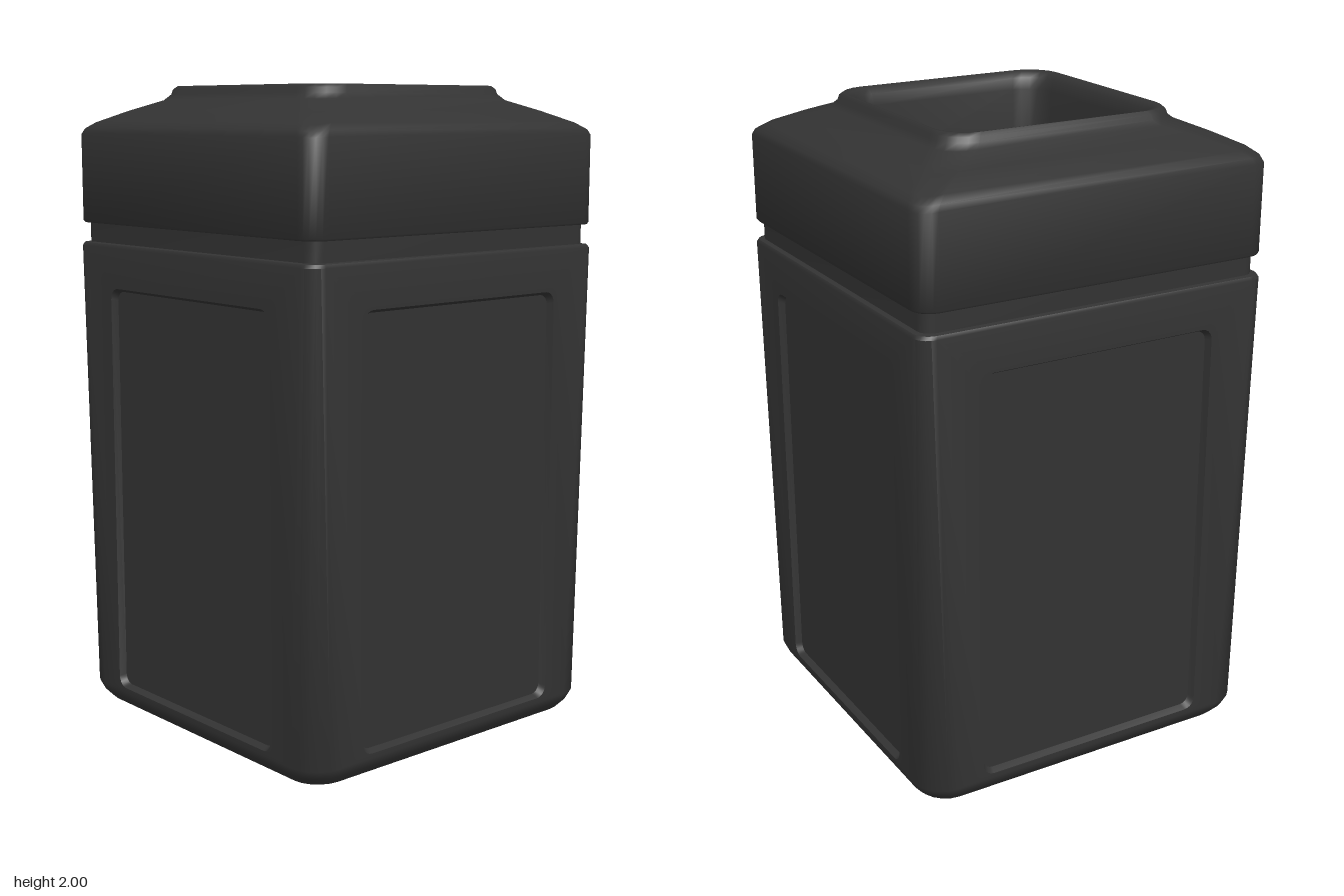
import * as THREE from 'three';
import { mergeGeometries, toCreasedNormals } from 'three/addons/utils/BufferGeometryUtils.js';

const N = 5; // segments per rounded corner

// Rounded rectangle outline as [x, z] pairs, four corners of N + 1 points
function outline(w, d, r) {
  const pts = [];
  for (let k = 0; k < 4; k++) {
    const sx = k === 0 || k === 3 ? 1 : -1;
    const sz = k < 2 ? 1 : -1;
    for (let i = 0; i <= N; i++) {
      const a = (k + i / N) * Math.PI / 2;
      pts.push([sx * (w - r) + r * Math.cos(a), sz * (d - r) + r * Math.sin(a)]);
    }
  }
  return pts;
}

// Skin rounded-rectangle sections; drop lowers the corners of a section
function loft(rings, cornersOnly = false) {
  const M = 4 * (N + 1);
  const pos = [], idx = [];
  rings.forEach(({ w, d = w, r = 0, y, drop = 0 }) => {
    for (const [x, z] of outline(w, d, r)) {
      const u = w > 0 ? Math.min(Math.abs(x), Math.abs(z)) / w : 0;
      pos.push(x, y - drop * u * u, z);
    }
  });
  for (let i = 0; i < rings.length - 1; i++) {
    for (let j = 0; j < M; j++) {
      if (cornersOnly && j % (N + 1) === N) continue;
      const a = i * M + j, c = i * M + (j + 1) % M;
      idx.push(a, a + M, c, c, a + M, c + M);
    }
  }
  const g = new THREE.BufferGeometry();
  g.setAttribute('position', new THREE.Float32BufferAttribute(pos, 3));
  g.setIndex(idx);
  return g;
}

// Join pieces and keep sharp edges (scaled up so that small details stay apart)
function finish(pieces, angle = 0.6) {
  const flat = pieces.map((p) => {
    const g = p.index ? p.toNonIndexed() : p.clone();
    g.deleteAttribute('uv');
    g.deleteAttribute('normal');
    return g;
  });
  const g = mergeGeometries(flat);
  g.scale(100, 100, 100);
  const out = toCreasedNormals(g, angle);
  out.scale(0.01, 0.01, 0.01);
  return out;
}

export function createModel() {
  const group = new THREE.Group();
  const plastic = new THREE.MeshStandardMaterial({ color: 0x333333 });
  plastic.name = 'charcoal plastic';
  const add = (name, geometry) => {
    const mesh = new THREE.Mesh(geometry, plastic);
    mesh.name = name;
    group.add(mesh);
  };

  const H = 0.58, LOW = 0.07, TOP = 1.505;
  const R_LOW = 0.1, R_TOP = 0.05;
  const panel = { w: 0.39, d: 0.6475, r: 0.035, y: 0.7325 };

  // Flat wall with a window for the recessed panel
  const wall = new THREE.Shape([
    new THREE.Vector2(-(H - R_LOW), LOW), new THREE.Vector2(H - R_LOW, LOW),
    new THREE.Vector2(H - R_TOP, TOP), new THREE.Vector2(-(H - R_TOP), TOP),
  ]);
  wall.holes.push(new THREE.Path(
    outline(panel.w, panel.d, panel.r).map(([x, z]) => new THREE.Vector2(x, z + panel.y))));
  const wallGeo = new THREE.ShapeGeometry(wall).translate(0, 0, H);

  // Body: base, rounded corner columns, four walls and top lip
  const body = [
    loft([
      { w: 0, y: 0 },
      { w: 0.46, r: 0.07, y: 0 },
      { w: 0.545, r: 0.09, y: 0.015 },
      { w: 0.568, r: 0.097, y: 0.042 },
      { w: H, r: R_LOW, y: LOW },
    ]),
    loft([{ w: H, r: R_LOW, y: LOW }, { w: H, r: R_TOP, y: TOP }], true),
    loft([
      { w: H, r: R_TOP, y: TOP },
      { w: 0.574, r: 0.047, y: 1.515 },
      { w: 0.558, r: 0.04, y: 1.517 },
    ]),
  ];
  for (let k = 0; k < 4; k++) body.push(wallGeo.clone().rotateY(k * Math.PI / 2));
  add('body', finish(body));

  // Recessed panels, one per side
  const recess = finish([loft([
    { ...panel, y: 0 },
    { w: 0.38, d: 0.6375, r: 0.03, y: -0.02 },
    { w: 0, d: 0, y: -0.02 },
  ])]);
  recess.rotateX(Math.PI / 2).translate(0, panel.y, H);
  ['front', 'left', 'back', 'right'].forEach((side, k) =>
    add(side + 'Panel', recess.clone().rotateY(k * Math.PI / 2)));

  // Groove between body and lid
  add('neck', finish([loft([{ w: 0.558, r: 0.04, y: 1.517 }, { w: 0.558, r: 0.04, y: 1.58 }])]));

  // Domed lid with raised rim and throat
  add('lid', finish([loft([
    { w: 0.558, r: 0.04, y: 1.578 },
    { w: 0.576, r: 0.058, y: 1.578 },
    { w: H, r: 0.06, y: 1.584 },
    { w: H, r: 0.06, y: 1.875, drop: 0.025 },
    { w: 0.573, r: 0.062, y: 1.905, drop: 0.04 },
    { w: 0.55, r: 0.065, y: 1.927, drop: 0.045 },
    { w: 0.48, r: 0.075, y: 1.948, drop: 0.03 },
    { w: 0.405, r: 0.1, y: 1.965, drop: 0.01 },
    { w: 0.388, r: 0.1, y: 1.975 },
    { w: 0.384, r: 0.1, y: 1.99 },
    { w: 0.374, r: 0.1, y: 2 },
    { w: 0.36, r: 0.1, y: 1.997 },
    { w: 0.347, r: 0.095, y: 1.98 },
    { w: 0.338, r: 0.09, y: 1.945 },
    { w: 0.333, r: 0.085, y: 1.75 },
  ])], 0.9));

  // Hollow inside: underside of the throat, inner walls and floor
  add('interior', finish([loft([
    { w: 0.333, r: 0.085, y: 1.75 },
    { w: 0.54, r: 0.05, y: 1.75 },
    { w: 0.54, r: 0.07, y: 0.06 },
    { w: 0, y: 0.06 },
  ])]));

  return group;
}
